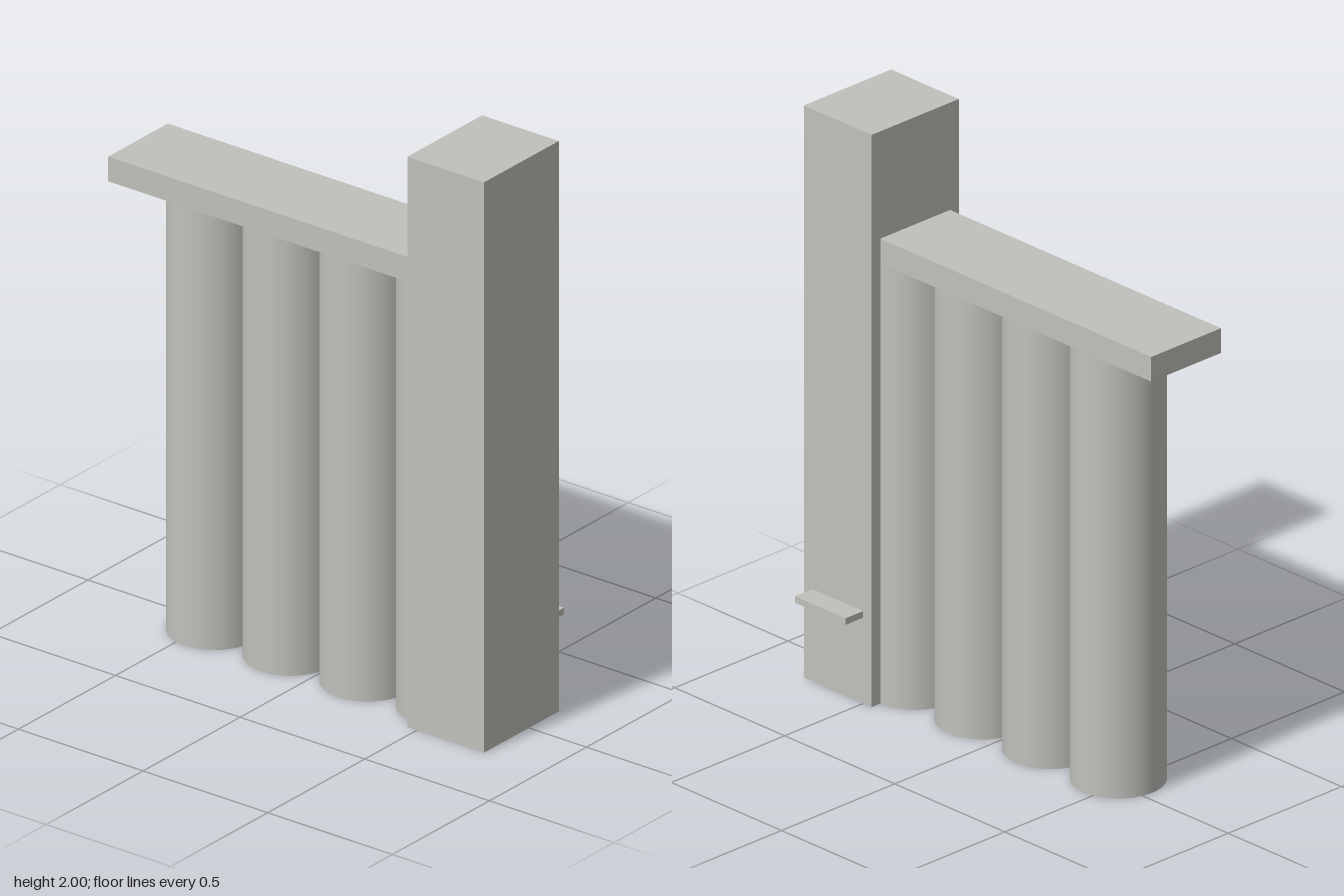
import * as THREE from 'three';

export function createModel() {
  const model = new THREE.Group();
  const stone = new THREE.MeshStandardMaterial({ color: 0xc0c0bc });
  stone.name = 'pale grey';

  // Box given by its minimum and maximum corners
  function block(name, min, max) {
    const size = max.map((v, i) => v - min[i]);
    const mesh = new THREE.Mesh(new THREE.BoxGeometry(...size), stone);
    mesh.position.set(...min.map((v, i) => (v + max[i]) / 2));
    mesh.name = name;
    model.add(mesh);
  }

  const unit = 2 / 6.5; // column diameter and spacing
  const half = unit * 2.5;
  const slabBottom = unit * 5;
  const slabZ = 0.0385;

  // Tall square tower, roof slab and the small ledge behind the tower
  block('tower', [half - unit, 0, -0.154], [half, 2, 0.231]);
  block('roofSlab', [-half, slabBottom, slabZ - unit / 2], [half - unit, 1.625, slabZ + unit / 2]);
  block('rearLedge', [0.5, 0.3, -0.231], [0.73, 0.323, -0.154]);

  // Row of touching columns, the last one half sunk in the tower
  const columnShape = new THREE.CylinderGeometry(unit / 2, unit / 2, slabBottom, 64);
  for (let i = 1; i <= 4; i++) {
    const column = new THREE.Mesh(columnShape, stone);
    column.position.set(-half + i * unit, slabBottom / 2, slabZ);
    column.name = 'column' + i;
    model.add(column);
  }

  return model;
}
